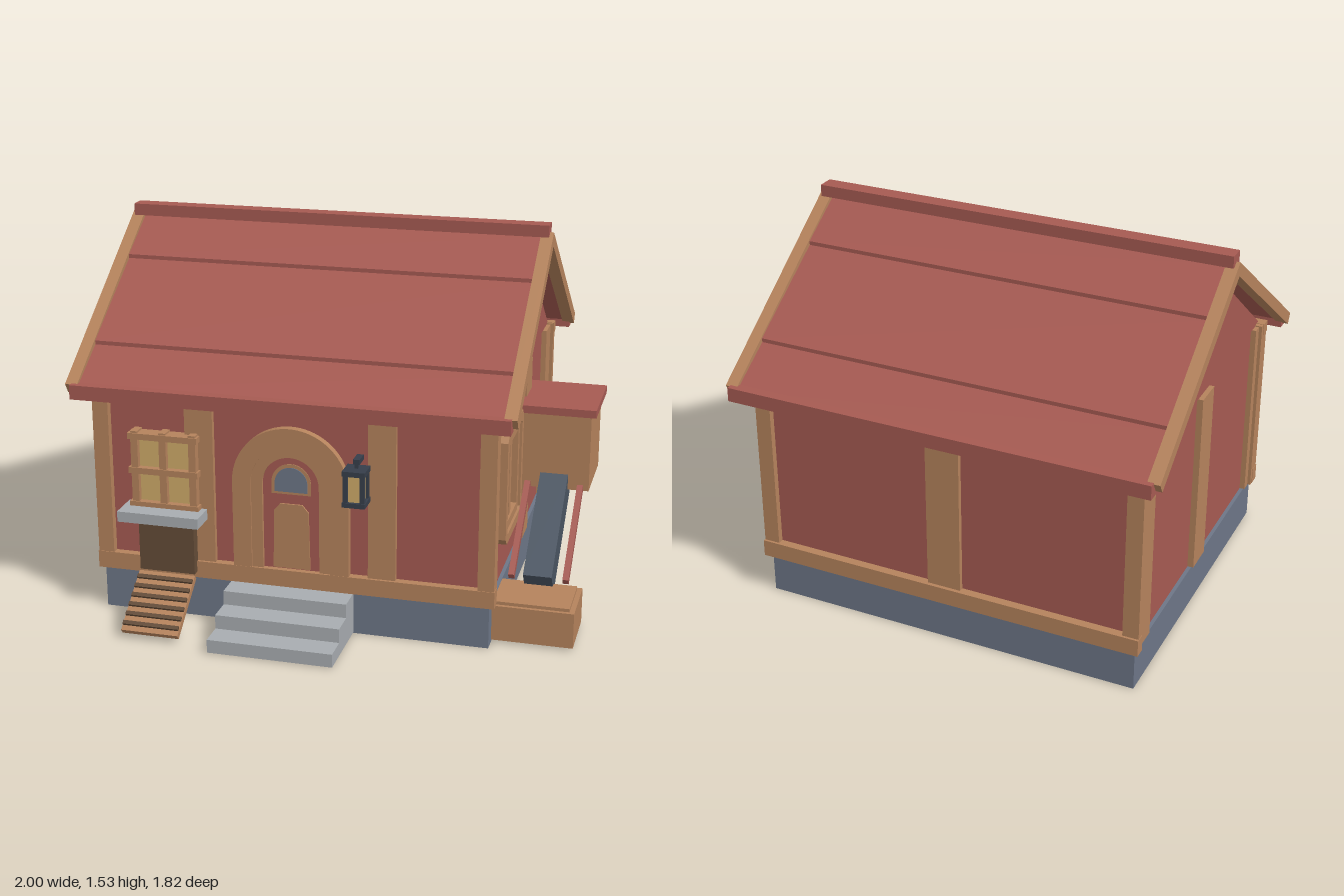
import * as THREE from 'three';

const mat = (name, color, side = THREE.FrontSide) => {
  const m = new THREE.MeshStandardMaterial({ color, side });
  m.name = name;
  return m;
};

export function createModel() {
  const red = mat('barn red', 0xa65a52);
  const wood = mat('timber', 0xb5835c);
  const darkWood = mat('dark wood', 0x644c38);
  const stone = mat('foundation stone', 0x6d7687);
  const stepGrey = mat('step grey', 0xa8acb0);
  const slate = mat('slate', 0x4a5562);
  const iron = mat('iron', 0x363e4a);
  const glow = mat('warm glass', 0xcfab69);

  const root = new THREE.Group();
  root.name = 'cottage';
  const CX = -0.11, CZ = -0.11, SLOPE = 0.686, RIDGE = 1.5;

  const group = (name, parent = root) => {
    const g = new THREE.Group();
    g.name = name;
    parent.add(g);
    return g;
  };
  const add = (parent, name, geo, m) => {
    const mesh = new THREE.Mesh(geo, m);
    mesh.name = name;
    parent.add(mesh);
    return mesh;
  };
  // box given by its extents
  const box = (parent, name, m, x0, x1, y0, y1, z0, z1) => {
    const mesh = add(parent, name, new THREE.BoxGeometry(x1 - x0, y1 - y0, z1 - z0), m);
    mesh.position.set((x0 + x1) / 2, (y0 + y1) / 2, (z0 + z1) / 2);
    return mesh;
  };
  const toShape = pts => new THREE.Shape(pts.map(([a, b]) => new THREE.Vector2(a, b)));
  // (z, y) profile swept along x
  const sweepX = (parent, name, m, shape, x0, x1) => {
    const geo = new THREE.ExtrudeGeometry(shape, { depth: x1 - x0, bevelEnabled: false });
    geo.rotateY(-Math.PI / 2).translate(x1, 0, 0);
    return add(parent, name, geo, m);
  };
  // (x, y) profile swept along z
  const sweepZ = (parent, name, m, shape, z0, z1) => {
    const geo = new THREE.ExtrudeGeometry(shape, { depth: z1 - z0, bevelEnabled: false, curveSegments: 20 });
    geo.translate(CX, 0, z0);
    return add(parent, name, geo, m);
  };

  // Foundation: hollow ring with a dark floor above
  const base = group('foundation');
  box(base, 'foundationFront', stone, -0.9, 0.68, 0, 0.17, 0.57, 0.59);
  box(base, 'foundationBack', stone, -0.9, 0.68, 0, 0.17, -0.8, -0.78);
  box(base, 'foundationLeft', stone, 0.66, 0.68, 0, 0.17, -0.78, 0.57);
  box(base, 'foundationRight', stone, -0.9, -0.88, 0, 0.17, -0.78, 0.57);
  box(base, 'floor', slate, -0.88, 0.66, 0.15, 0.17, -0.78, 0.57);

  // Walls and gables
  box(root, 'walls', red, -0.885, 0.665, 0.17, 0.94, -0.795, 0.575);
  sweepX(root, 'gables', red, toShape([[CZ - 0.7, 0.935], [CZ + 0.7, 0.935], [CZ, 1.452]]), -0.89, 0.67);

  // Timber frame
  const frame = group('timberFrame');
  for (const s of [-1, 1]) {
    const span = (a, b) => [CX + s * a, CX + s * b].sort((p, q) => p - q);
    box(frame, 'frontCornerPost', wood, ...span(0.745, 0.81), 0.175, 0.94, 0.54, 0.605);
    box(frame, 'backCornerPost', wood, ...span(0.745, 0.81), 0.175, 0.94, -0.82, -0.78);
    box(frame, 'frontSidePost', wood, ...span(0.76, 0.797), 0.172, 0.935, 0.5, 0.54);
    box(frame, 'backSidePost', wood, ...span(0.76, 0.797), 0.172, 0.935, -0.78, -0.665);
  }
  box(frame, 'leftMiddlePost', wood, 0.65, 0.69, 0.172, 0.935, -0.26, -0.13);
  box(frame, 'rightMiddlePost', wood, -0.91, -0.87, 0.172, 0.935, -0.175, -0.045);
  box(frame, 'frontPost', wood, -0.54, -0.425, 0.24, 0.9, 0.57, 0.597);
  box(frame, 'frontPost', wood, 0.2, 0.31, 0.24, 0.9, 0.57, 0.597);
  box(frame, 'backPost', wood, -0.18, -0.04, 0.24, 0.9, -0.815, -0.79);
  for (const [y0, y1] of [[0.175, 0.245], [0.895, 0.942]]) {
    box(frame, 'frontBeam', wood, -0.922, 0.702, y0, y1, 0.56, 0.608);
    box(frame, 'backBeam', wood, -0.922, 0.702, y0, y1, -0.83, -0.785);
  }

  // Roof: overlapping courses, each point is [distance from ridge, drop below roof line]
  const roof = group('roof');
  const slopeProfile = (top, bottom) => {
    const at = s => ([d, off]) => [CZ + s * d, RIDGE - SLOPE * d - off];
    return toShape([
      ...top.map(at(1)), ...[...bottom].reverse().map(at(1)),
      ...bottom.slice(1).map(at(-1)), ...[...top].reverse().slice(0, -1).map(at(-1)),
    ]);
  };
  const courses = [[0, 0.02], [0.2, 0.008], [0.2, 0.024], [0.585, 0.008], [0.585, 0.024], [0.78, 0.012]];
  sweepX(roof, 'roofCourses', red, slopeProfile(courses, [[0, 0.048], [0.78, 0.048]]), -0.95, 0.73);
  const barge = [[[0, 0], [0.78, 0]], [[0, 0.057], [0.755, 0.057]]];
  sweepX(roof, 'rightBargeBoards', wood, slopeProfile(...barge), -1, -0.95);
  sweepX(roof, 'leftBargeBoards', wood, slopeProfile(...barge), 0.73, 0.78);
  box(roof, 'ridgeCap', red, -0.985, 0.765, 1.485, 1.533, CZ - 0.035, CZ + 0.035);
  for (const s of [-1, 1]) {
    const z = CZ + s * 0.77;
    box(roof, 'eaveBoard', red, -0.975, 0.76, 0.91, 0.968, z - 0.03, z + 0.03);
  }

  // Front door
  const door = group('door');
  const arch = (r, y0, yc) => {
    const s = new THREE.Shape();
    s.moveTo(-r, y0);
    s.lineTo(-r, yc);
    s.absarc(0, yc, r, Math.PI, 0, true);
    s.lineTo(r, y0);
    return s;
  };
  const archRing = (r, ri, y0, yc) => {
    const s = arch(r, y0, yc);
    s.lineTo(ri, y0);
    s.lineTo(ri, yc);
    s.absarc(0, yc, ri, 0, Math.PI, false);
    s.lineTo(-ri, y0);
    return s;
  };
  sweepZ(door, 'outerArch', wood, archRing(0.235, 0.16, 0.24, 0.6), 0.57, 0.607);
  sweepZ(door, 'innerArch', wood, archRing(0.16, 0.115, 0.24, 0.6), 0.57, 0.6);
  sweepZ(door, 'doorLeaf', red, arch(0.115, 0.24, 0.6), 0.57, 0.585);
  sweepZ(door, 'doorWindowFrame', wood, arch(0.08, 0.56, 0.605), 0.58, 0.588);
  sweepZ(door, 'doorWindowPane', stone, arch(0.066, 0.57, 0.605), 0.585, 0.591);
  const panel = toShape([[-0.075, 0.25], [0.075, 0.25], [0.07, 0.49], [0.045, 0.52], [-0.045, 0.52], [-0.07, 0.49]]);
  sweepZ(door, 'doorPanel', wood, panel, 0.58, 0.592);

  // Front window
  const win = group('frontWindow');
  box(win, 'windowPanes', glow, -0.74, -0.495, 0.47, 0.765, 0.57, 0.608);
  for (const x of [-0.74, -0.6225, -0.5]) box(win, 'uprightBar', wood, x - 0.0145, x + 0.0145, 0.465, 0.78, 0.575, 0.63);
  for (const y of [0.475, 0.6175, 0.76]) box(win, 'crossBar', wood, -0.765, -0.478, y - 0.0125, y + 0.0125, 0.575, 0.635);
  box(win, 'windowSill', stepGrey, -0.79, -0.455, 0.425, 0.468, 0.57, 0.71);

  // Pet door with ramp
  box(root, 'petDoor', darkWood, -0.73, -0.5, 0.2, 0.42, 0.57, 0.638);
  const ramp = group('ramp');
  ramp.position.set(-0.6125, 0.108, 0.75);
  ramp.rotation.x = 0.65;
  box(ramp, 'rampBoard', wood, -0.117, 0.117, -0.012, 0.012, -0.135, 0.135);
  for (let i = 0; i < 6; i++) {
    const z = -0.105 + i * 0.042;
    box(ramp, 'rampSlat', darkWood, -0.115, 0.115, 0.01, 0.024, z - 0.008, z + 0.008);
  }

  // Entrance steps
  for (let i = 0; i < 3; i++)
    box(root, 'step', stepGrey, -0.36, 0.14, i ? 0.057 * i : 0.003, 0.057 * (i + 1), 0.56, 0.905 - i * 0.103);

  // Lantern
  const lantern = group('lantern');
  box(lantern, 'lanternGlass', glow, 0.138, 0.202, 0.59, 0.705, 0.628, 0.692);
  box(lantern, 'lanternBase', iron, 0.125, 0.215, 0.575, 0.594, 0.615, 0.705);
  box(lantern, 'lanternTop', iron, 0.125, 0.215, 0.7, 0.72, 0.615, 0.705);
  for (const x of [0.137, 0.203]) for (const z of [0.627, 0.693])
    box(lantern, 'lanternPost', iron, x - 0.009, x + 0.009, 0.59, 0.705, z - 0.009, z + 0.009);
  box(lantern, 'lanternBracket', iron, 0.157, 0.183, 0.735, 0.755, 0.595, 0.66);
  box(lantern, 'lanternHook', iron, 0.163, 0.177, 0.715, 0.74, 0.643, 0.66);

  // Side window
  const side = group('sideWindow');
  const oct = (h, y0, y1, c) => [
    [0.18 - h + c, y0], [0.18 + h - c, y0], [0.18 + h, y0 + c], [0.18 + h, y1 - c],
    [0.18 + h - c, y1], [0.18 - h + c, y1], [0.18 - h, y1 - c], [0.18 - h, y0 + c],
  ];
  const ring = (outer, inner) => {
    const s = toShape(outer);
    s.holes.push(new THREE.Path(inner.map(([a, b]) => new THREE.Vector2(a, b))));
    return s;
  };
  const middle = oct(0.15, 0.37, 0.755, 0.012);
  const opening = [[0.06, 0.405], [0.3, 0.405], [0.3, 0.725], [0.06, 0.725]];
  sweepX(side, 'outerFrame', wood, ring(oct(0.187, 0.333, 0.795, 0.03), middle), 0.66, 0.7);
  sweepX(side, 'innerFrame', wood, ring(middle, opening), 0.66, 0.69);
  box(side, 'mullion', wood, 0.66, 0.682, 0.4, 0.73, 0.163, 0.203);

  // Nest box with slide and landing crate
  const nest = group('nestBox');
  box(nest, 'nestBody', wood, 0.66, 0.972, 0.45, 0.775, -0.35, -0.025);
  box(nest, 'nestLid', red, 0.66, 0.992, 0.77, 0.802, -0.365, -0.01);
  const slide = group('slide', nest);
  slide.position.set(0, 0.32, 0.133);
  slide.rotation.x = 0.65;
  box(slide, 'slideBed', slate, 0.772, 0.886, -0.062, 0.062, -0.242, 0.242);
  for (const x of [0.722, 0.938]) box(slide, 'slideRail', red, x - 0.012, x + 0.012, 0.012, 0.042, -0.21, 0.235);
  box(nest, 'landingCrate', wood, 0.68, 1, 0.01, 0.155, 0.28, 0.53);
  box(nest, 'crateTop', wood, 0.68, 0.98, 0.15, 0.168, 0.295, 0.515);

  return root;
}
